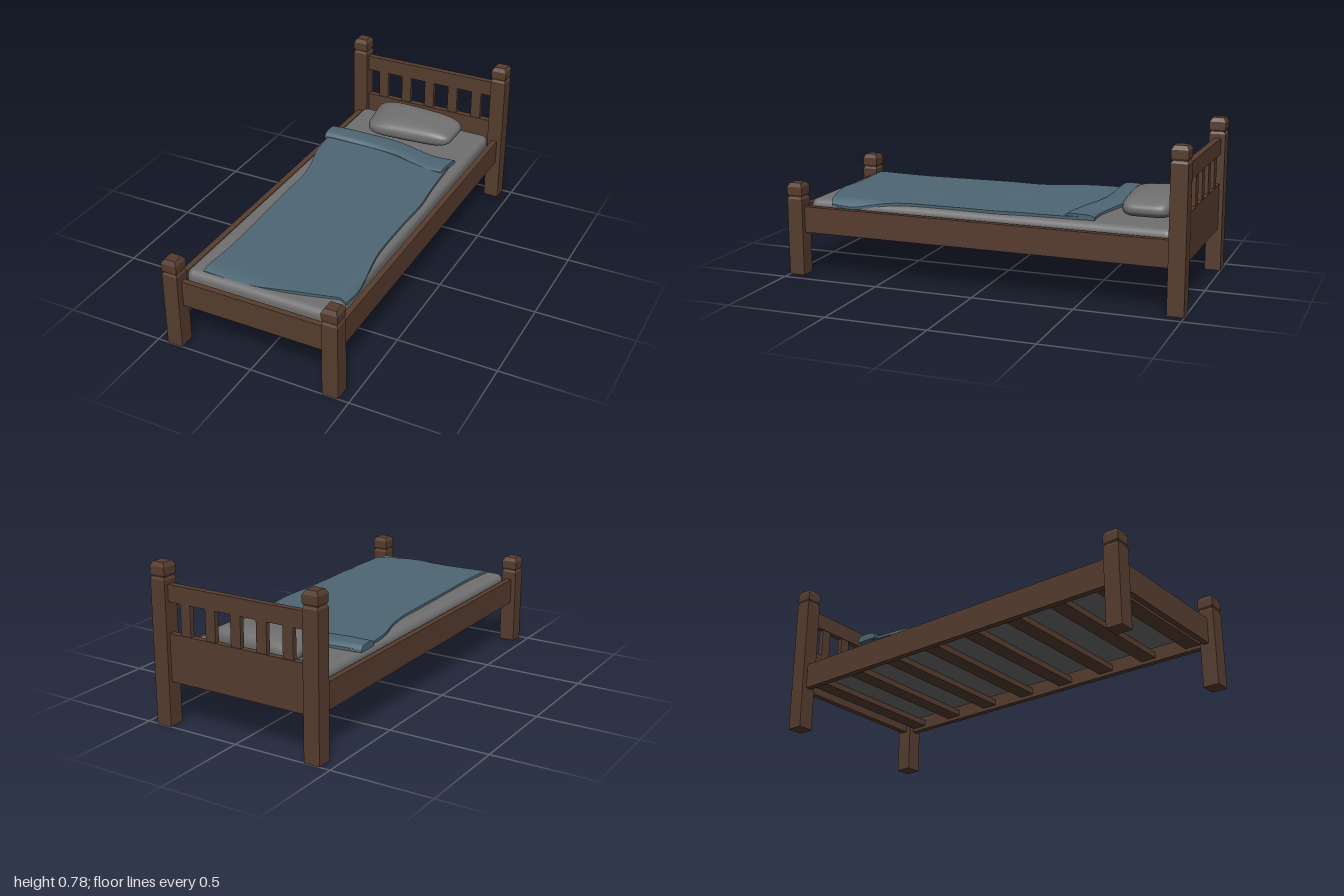
import * as THREE from 'three';
import { mergeVertices } from 'three/addons/utils/BufferGeometryUtils.js';
import { RoundedBoxGeometry } from 'three/addons/geometries/RoundedBoxGeometry.js';

const material = (name, color) => {
  const m = new THREE.MeshStandardMaterial({ color });
  m.name = name;
  return m;
};

export function createModel() {
  const wood = material('dark wood', 0x573d2f);
  const linen = material('grey linen', 0x707070);
  const wool = material('blue blanket', 0x4e6674);
  const bed = new THREE.Group();
  bed.name = 'bed';

  const add = (name, geometry, mat) => {
    const mesh = new THREE.Mesh(geometry, mat);
    mesh.name = name;
    bed.add(mesh);
    return mesh;
  };
  // Box given by its lower and upper limits on each axis
  const board = (name, [x0, x1], [y0, y1], [z0, z1]) =>
    add(name, new THREE.BoxGeometry(x1 - x0, y1 - y0, z1 - z0), wood)
      .position.set((x0 + x1) / 2, (y0 + y1) / 2, (z0 + z1) / 2);

  // Square post with a grooved neck and a chamfered cap
  const post = (name, x, z, h) => {
    const r = 0.04;
    const profile = [
      [0, 0], [r, 0], [r, h - 0.08], [r - 0.006, h - 0.07],
      [r - 0.006, h - 0.068], [r, h - 0.058], [r, h - 0.02], [r - 0.012, h], [0, h],
    ].map(([a, y]) => new THREE.Vector2(a * Math.SQRT2, y));
    const g = new THREE.LatheGeometry(profile, 4, Math.PI / 4).toNonIndexed();
    g.computeVertexNormals();
    add(name, g, wood).position.set(x, 0, z);
  };
  for (const side of [-1, 1]) {
    const label = side > 0 ? 'left' : 'right';
    post(label + 'HeadPost', side * 0.407, -0.96, 0.776);
    post(label + 'FootPost', side * 0.407, 0.96, 0.465);
    const x = side * 0.407;
    board(label + 'SideRail', [x - 0.015, x + 0.015], [0.215, 0.345], [-0.925, 0.925]);
  }

  // Headboard and footboard
  board('headTopRail', [-0.37, 0.37], [0.595, 0.676], [-0.979, -0.947]);
  board('headPanel', [-0.37, 0.37], [0.215, 0.446], [-0.979, -0.947]);
  board('footPanel', [-0.37, 0.37], [0.215, 0.345], [0.936, 0.965]);
  for (let i = -2; i <= 2; i++) {
    const x = i * 0.138;
    board('headSpindle', [x - 0.027, x + 0.027], [0.44, 0.6], [-0.975, -0.951]);
  }

  // Slats under the mattress
  for (let i = 0; i < 8; i++) {
    const z = -0.87 + i * 0.248;
    board('bedSlat', [-0.395, 0.395], [0.232, 0.262], [z - 0.04, z + 0.04]);
  }

  // Mattress
  add('mattress', new RoundedBoxGeometry(0.756, 0.115, 1.835, 5, 0.035), linen)
    .position.set(-0.003, 0.3195, -0.002);

  // Pillow: a sphere squared off in plan, a little higher at the back
  const power = (v, p) => Math.sign(v) * Math.abs(v) ** p;
  let pillow = new THREE.SphereGeometry(1, 64, 32);
  pillow.deleteAttribute('uv');
  pillow.deleteAttribute('normal');
  pillow = mergeVertices(pillow, 1e-5);
  const pp = pillow.attributes.position;
  for (let i = 0; i < pp.count; i++) {
    const y = pp.getY(i);
    const ring = Math.hypot(pp.getX(i), pp.getZ(i)) || 1e-6;
    const spread = Math.min(1, ring) ** 0.55;
    const a = power(pp.getX(i) / ring, 0.35) * spread;
    const c = power(pp.getZ(i) / ring, 0.35) * spread;
    const lift = y > 0 ? 0.06 * (1 - 0.22 * a * a) * (1 - 0.1 * c) : 0.05;
    pp.setXYZ(i, 0.004 + a * 0.245 + c * 0.012 * (1 - a), 0.425 + power(y, 0.8) * lift,
      -0.755 + c * (0.137 - 0.012 * a) - 0.008 * a * c);
  }
  pillow.computeVertexNormals();
  add('pillow', pillow, linen);

  // Cloth: a subdivided slab whose u, v and layer are placed by a rule
  const cloth = (name, nu, nv, rule) => {
    const g = new THREE.BoxGeometry(1, 1, 1, nu, 1, nv);
    const p = g.attributes.position;
    for (let i = 0; i < p.count; i++) {
      p.setXYZ(i, ...rule(p.getX(i) + 0.5, p.getZ(i) + 0.5, p.getY(i) > 0));
    }
    g.computeVertexNormals();
    add(name, g, wool);
  };
  const edge = (points) =>
    new THREE.CatmullRomCurve3(points.map(([x, z]) => new THREE.Vector3(x, 0, z)));

  // Blanket, draped between its two side edges
  const rightEdge = edge([[-0.385, -0.5], [-0.365, -0.32], [-0.325, -0.18], [-0.304, -0.05],
    [-0.302, 0.1], [-0.294, 0.4], [-0.288, 0.66], [-0.299, 0.885]]);
  const leftEdge = edge([[0.325, -0.5], [0.328, -0.42], [0.338, -0.24], [0.352, -0.08],
    [0.348, 0.13], [0.352, 0.4], [0.384, 0.66], [0.38, 0.79]]);
  cloth('blanket', 28, 50, (u, v, top) => {
    const p = rightEdge.getPoint(v).lerp(leftEdge.getPoint(v), u);
    const z = p.z + 0.035 * Math.sin(Math.PI * u) * v ** 6;
    const ripple = 0.002 * Math.sin(9 * u + 5 * v) * Math.sin(11 * v);
    const droop = 22 * Math.max(0, p.x - 0.345) ** 2 + 6 * Math.max(0, z - 0.84) ** 2;
    return [p.x, (top ? 0.39 + ripple : 0.377) - droop, z];
  });

  // Turned-back fold at the head end of the blanket
  const backEdge = edge([[-0.4, -0.585], [-0.29, -0.595], [-0.17, -0.6], [-0.02, -0.592],
    [0.12, -0.56], [0.23, -0.54], [0.333, -0.545]]);
  const frontEdge = edge([[-0.398, -0.475], [-0.27, -0.475], [-0.12, -0.475], [0.02, -0.46],
    [0.14, -0.425], [0.23, -0.4], [0.316, -0.397]]);
  cloth('blanketFold', 28, 12, (u, v, top) => {
    const p = backEdge.getPoint(u).lerp(frontEdge.getPoint(u), v);
    const bulge = Math.sqrt(Math.max(0, 1 - (2 * v - 1) ** 4));
    const y = top ? 0.392 + (0.02 - 0.01 * u) * bulge + 0.0015 * Math.sin(14 * u) : 0.379;
    return [p.x, y, p.z];
  });

  return bed;
}
